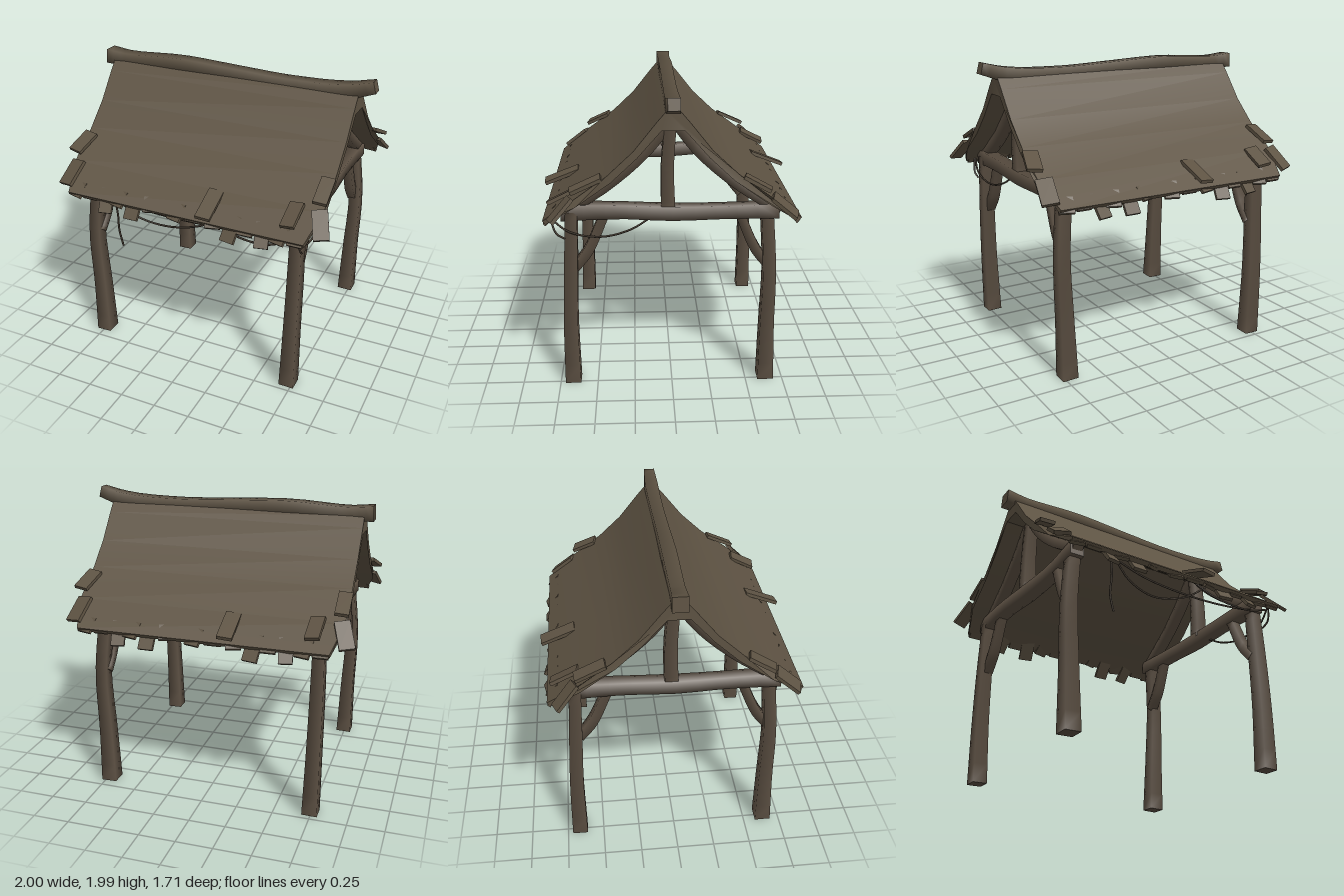
import * as THREE from 'three';
import { mergeVertices, toCreasedNormals } from 'three/addons/utils/BufferGeometryUtils.js';

const thatch = new THREE.MeshStandardMaterial({ color: 0x5e5343 });
thatch.name = 'weathered roof';
const wood = new THREE.MeshStandardMaterial({ color: 0x5b4f42 });
wood.name = 'old timber';
const vineMat = new THREE.MeshStandardMaterial({ color: 0x463d33 });
vineMat.name = 'dry vine';

const V = (p) => new THREE.Vector3(p[0], p[1], p[2]);
const CX = -0.012; // the frame repeats by a half turn about this x

function add(parent, name, geometry, material) {
  const mesh = new THREE.Mesh(geometry, material);
  mesh.name = name;
  parent.add(mesh);
  return mesh;
}

// Crooked square timber through points [x, y, z, halfWidth]
function timber(points, side = [1, 0, 0], steps = 10) {
  const curve = new THREE.CatmullRomCurve3(points.map(V));
  let g = new THREE.CylinderGeometry(Math.SQRT2, Math.SQRT2, 1, 4, steps, false, Math.PI / 4);
  g.deleteAttribute('uv');
  g = mergeVertices(g);
  const pos = g.attributes.position;
  for (let i = 0; i < pos.count; i++) {
    const t = THREE.MathUtils.clamp(pos.getY(i) + 0.5, 0, 1);
    const f = t * (points.length - 1);
    const k = Math.min(Math.floor(f), points.length - 2);
    const r = THREE.MathUtils.lerp(points[k][3], points[k + 1][3], f - k);
    const tan = curve.getTangent(t);
    const u = V(side).addScaledVector(tan, -V(side).dot(tan)).normalize();
    const w = u.clone().cross(tan);
    const p = curve.getPoint(t).addScaledVector(u, pos.getX(i) * r).addScaledVector(w, pos.getZ(i) * r);
    pos.setXYZ(i, p.x, p.y, p.z);
  }
  g.computeVertexNormals();
  return g;
}

// Loose board lying from a (upper end) to b (lower end)
function board(parent, name, a, b, width, thick = 0.022, roll = 0) {
  const d = V(b).sub(V(a));
  const mesh = add(parent, name, new THREE.BoxGeometry(width, thick, d.length()), thatch);
  const z = d.clone().normalize();
  const x = new THREE.Vector3(0, 1, 0).cross(z).normalize();
  const y = z.clone().cross(x);
  mesh.quaternion.setFromRotationMatrix(new THREE.Matrix4().makeBasis(x, y, z));
  mesh.rotateZ(roll);
  mesh.position.copy(V(a).add(V(b)).multiplyScalar(0.5));
}

// Roof: one bent slab, a little narrower at the eaves
function roofGeometry() {
  const outer = [[0.1, 1.82], [0.24, 1.645], [0.4, 1.495], [0.62, 1.335], [0.81, 1.19]];
  const inner = [[0.79, 1.165], [0.6, 1.295], [0.38, 1.45], [0.22, 1.6], [0.07, 1.77]];
  const half = [[0.04, 1.89], ...outer, ...inner];
  const mirrored = half.map(([z, y]) => [-z, y]).reverse();
  const shape = new THREE.Shape([...half, ...mirrored].map(([z, y]) => new THREE.Vector2(z, y)));
  const g = new THREE.ExtrudeGeometry(shape, { depth: 1.8, bevelEnabled: false });
  g.translate(0, 0, -0.9).rotateY(Math.PI / 2);
  const pos = g.attributes.position;
  for (let i = 0; i < pos.count; i++) {
    const cut = 0.06 * THREE.MathUtils.smoothstep(Math.abs(pos.getZ(i)), 0.6, 0.8);
    pos.setX(i, pos.getX(i) - Math.sign(pos.getX(i)) * cut - 0.01);
  }
  return toCreasedNormals(g, 0.6);
}

// Half of the frame and loose boards: the front side and the +x gable
function buildHalf() {
  const h = new THREE.Group();

  // Posts
  add(h, 'postRight', timber([[0.72, 0, 0.665, 0.052], [0.73, 0.45, 0.665, 0.046],
    [0.735, 0.85, 0.65, 0.043], [0.735, 1.22, 0.635, 0.038]]), wood);
  add(h, 'postLeft', timber([[-0.745, 0, 0.635, 0.054], [-0.755, 0.4, 0.63, 0.046],
    [-0.768, 0.82, 0.63, 0.041], [-0.735, 1.22, 0.605, 0.039]]), wood);

  // Gable truss
  const x = 0.72;
  add(h, 'tieBeam', timber([[x, 1.215, 0.7, 0.052], [x + 0.01, 1.22, 0.35, 0.044],
    [x, 1.2, 0, 0.046], [x - 0.01, 1.2, -0.35, 0.042], [x, 1.21, -0.68, 0.048]]), wood);
  add(h, 'kingPost', timber([[x, 1.22, 0.025, 0.044], [x, 1.5, 0.03, 0.04], [x, 1.78, 0.01, 0.036]]), wood);
  for (const s of [1, -1]) {
    add(h, 'rafter', timber([[x, 1.21, s * 0.69, 0.036], [x, 1.39, s * 0.41, 0.036],
      [x, 1.6, s * 0.17, 0.036], [x, 1.79, s * 0.02, 0.036]]), wood);
    add(h, 'brace', timber([[x, 0.83, s * 0.625, 0.03], [x, 0.95, s * 0.535, 0.032],
      [x, 1.19, s * 0.43, 0.03]]), wood);
  }

  // Loose boards on the slope
  const loose = [
    [[0.17, 1.33, 0.62], [0.175, 1.24, 0.85], 0.1],
    [[0.715, 1.355, 0.61], [0.71, 1.27, 0.78], 0.095],
    [[0.852, 1.475, 0.44], [0.86, 1.39, 0.63], 0.09],
    [[0.865, 1.35, 0.63], [0.925, 1.215, 0.755], 0.1],
    [[-0.88, 1.475, 0.44], [-0.92, 1.395, 0.6], 0.1],
    [[-0.875, 1.34, 0.62], [-0.9, 1.22, 0.77], 0.11],
  ];
  loose.forEach(([a, b, w], i) => board(h, 'looseBoard', a, b, w, 0.024, i % 2 ? 0.15 : -0.1));

  // Ragged eave boards: [x, width, drop]
  const eave = [[-0.8, 0.1, 0.01], [-0.69, 0.1, 0.005], [-0.57, 0.09, 0.07], [-0.48, 0.1, 0.015],
    [-0.365, 0.1, 0.075], [-0.25, 0.08, 0.005], [-0.05, 0.1, 0.02], [0.08, 0.11, 0.005],
    [0.21, 0.1, 0.015], [0.34, 0.1, 0.075], [0.44, 0.1, 0.015], [0.55, 0.09, 0.065],
    [0.66, 0.1, 0.02], [0.77, 0.1, 0.012]];
  eave.forEach(([ex, w, drop], i) => {
    const tilt = ((i % 3) - 1) * 0.01;
    board(h, 'eaveBoard', [ex - tilt, 1.24, 0.725], [ex + tilt, 1.17 - drop, 0.795 + drop * 0.4], w, 0.022, tilt * 4);
  });
  return h;
}

export function createModel() {
  const model = new THREE.Group();
  model.name = 'shelter';

  add(model, 'roof', roofGeometry(), thatch);
  add(model, 'ridgeBeam', timber([[-0.97, 1.905, 0, 0.05], [-0.8, 1.895, 0, 0.045], [-0.4, 1.912, 0, 0.048],
    [0, 1.9, 0, 0.045], [0.4, 1.885, 0, 0.045], [0.8, 1.9, 0, 0.048], [0.99, 1.95, 0, 0.038]], [0, 0, 1], 20), thatch);

  // Front half and its half-turn copy
  const front = buildHalf();
  front.name = 'frontHalf';
  const back = buildHalf();
  back.name = 'backHalf';
  back.rotation.y = Math.PI;
  back.position.x = 2 * CX;
  model.add(front, back);

  // Vines hanging under the eaves and gable
  const vines = [
    [[-0.5, 1.18, 0.74], [-0.38, 1.07, 0.72], [-0.17, 1.025, 0.69], [0.08, 1.09, 0.7], [0.24, 1.2, 0.72]],
    [[-0.47, 1.17, 0.74], [-0.25, 1.125, 0.72], [0.15, 1.11, 0.7], [0.5, 1.13, 0.7], [0.76, 1.18, 0.69]],
    [[0.13, 1.22, 0.72], [0.3, 1.13, 0.75], [0.57, 1.105, 0.76], [0.78, 1.18, 0.72]],
    [[-0.53, 1.18, 0.74], [-0.52, 1.05, 0.73], [-0.525, 0.93, 0.72], [-0.5, 0.81, 0.72]],
    [[0.77, 1.18, 0.76], [0.79, 1.1, 0.65], [0.78, 1.06, 0.45], [0.76, 1.1, 0.26], [0.73, 1.18, 0.12]],
    [[0.77, 1.2, 0.77], [0.79, 1.09, 0.73], [0.78, 1.05, 0.68]],
  ];
  for (const pts of vines) {
    add(model, 'vine', new THREE.TubeGeometry(new THREE.CatmullRomCurve3(pts.map(V)), 20, 0.007, 5), vineMat);
  }
  return model;
}
